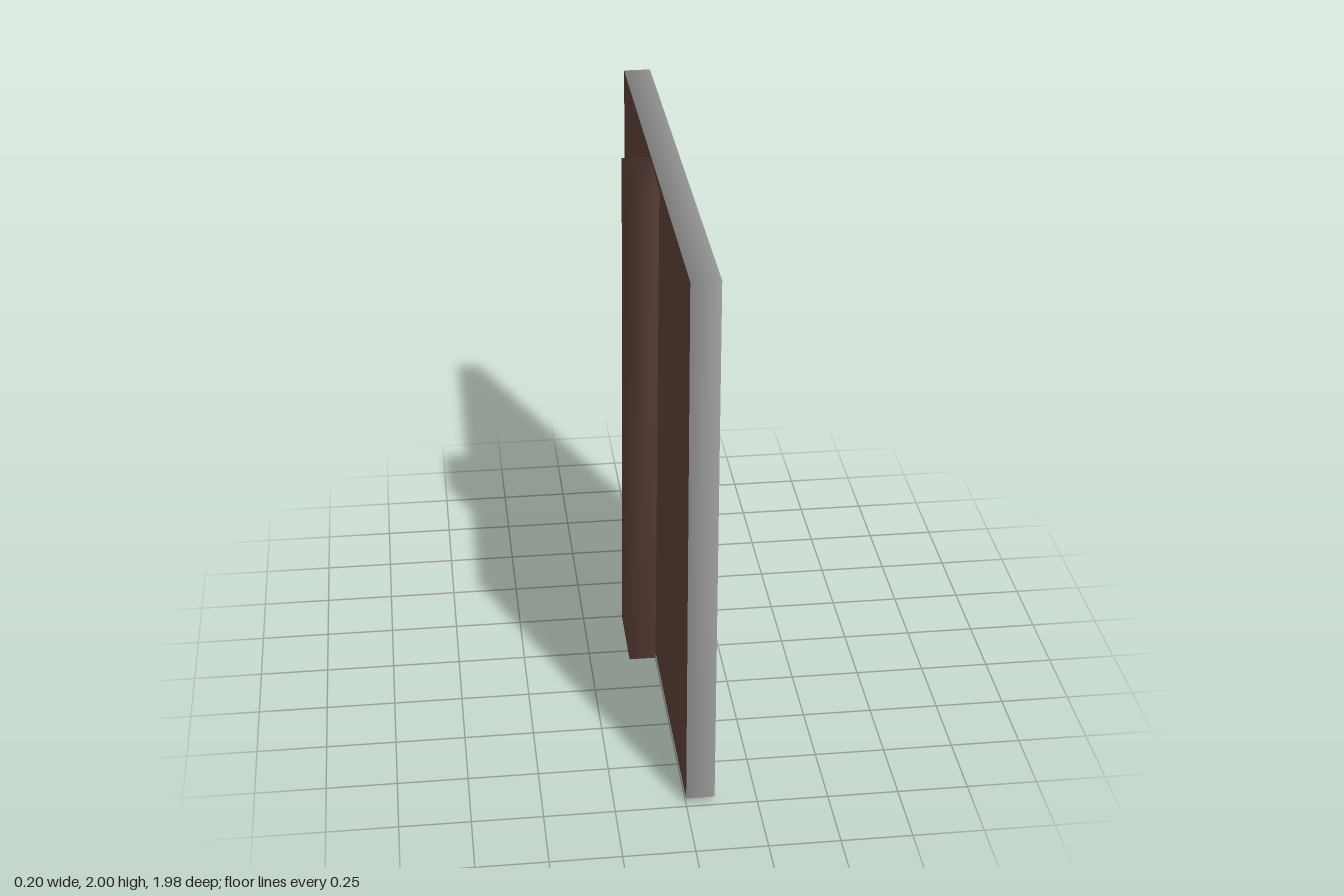
import * as THREE from 'three';
import { mergeVertices } from 'three/addons/utils/BufferGeometryUtils.js';

const grey = new THREE.MeshStandardMaterial({ name: 'light grey', color: 0xbdbdbd });
const brown = new THREE.MeshStandardMaterial({ name: 'dark brown', color: 0x5d4037 });

// Box with shared corners, so its normals blend smoothly across the edges
function smoothBox(w, h, d) {
  const box = new THREE.BoxGeometry(w, h, d);
  box.deleteAttribute('normal');
  box.deleteAttribute('uv');
  const merged = mergeVertices(box);
  merged.computeVertexNormals();
  return merged;
}

export function createModel() {
  const group = new THREE.Group();
  group.name = 'standingPanel';

  // Square panel: grey all round, brown on its -x face
  const panel = new THREE.Mesh(
    smoothBox(0.1, 1.975, 1.975),
    [grey, brown, grey, grey, grey, grey]
  );
  panel.name = 'panel';
  panel.position.set(0.05, 1.0125, 0);
  group.add(panel);

  // Slightly tilted support board against the brown face
  const support = new THREE.Mesh(smoothBox(0.1, 1.975, 0.28), brown);
  support.name = 'supportBoard';
  support.position.set(-0.05, 0.994, -0.025);
  support.rotation.x = 0.056;
  group.add(support);

  return group;
}
